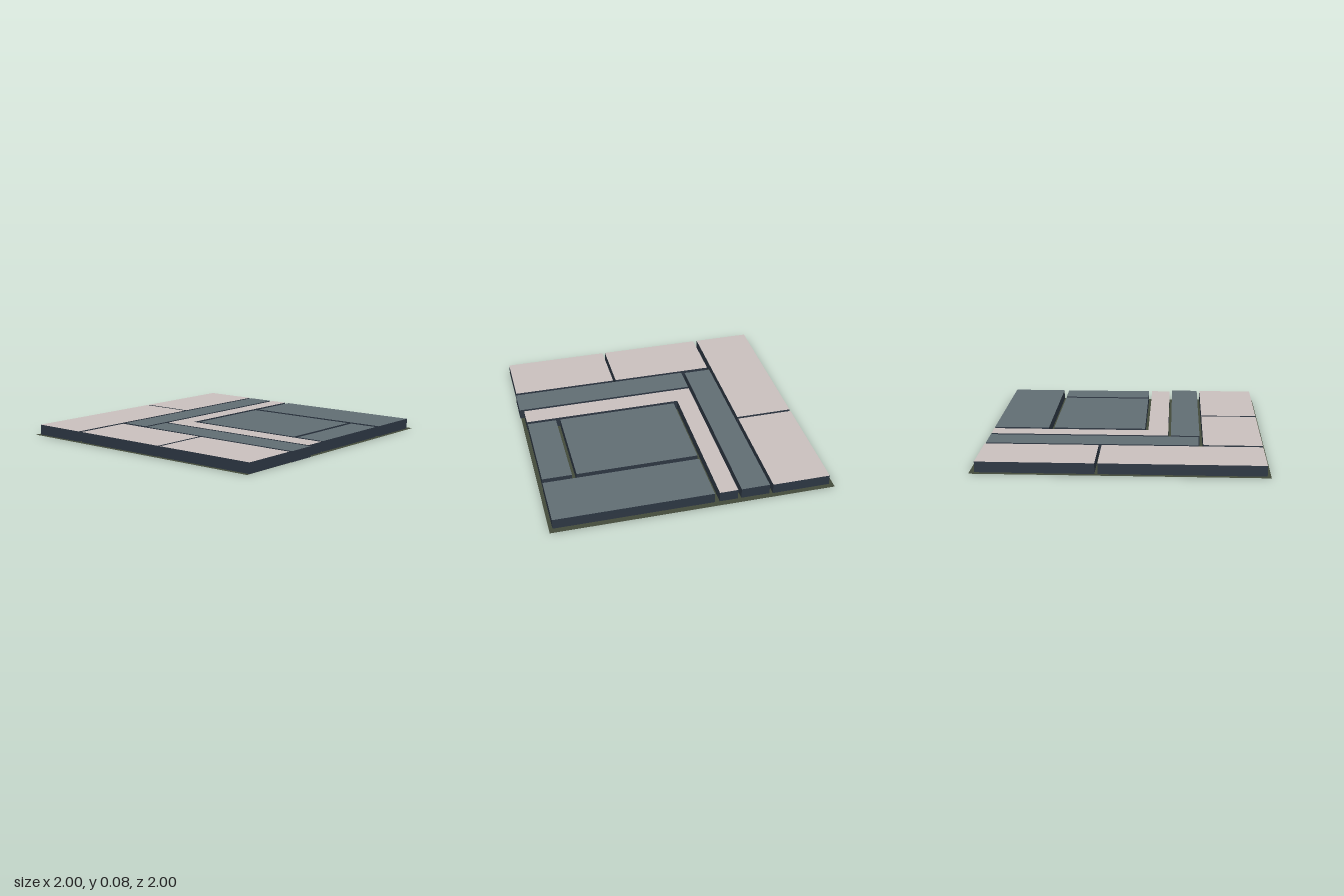
import * as THREE from 'three';

const HEIGHT = 0.075;

const material = (name, color, side = THREE.FrontSide) => {
  const m = new THREE.MeshStandardMaterial({ color, side });
  m.name = name;
  return m;
};

// Corner points of a rectangle in plan, x and z
const rect = (x0, x1, z0, z1) => [[x0, z0], [x0, z1], [x1, z1], [x1, z0]];

export function createModel() {
  const pale = material('paleStone', 0xc9bfbd);
  const slate = material('slateStone', 0x616d73);
  const wall = material('darkBlueSides', 0x2c3642);
  const olive = material('oliveGround', 0x434a3a, THREE.DoubleSide);

  const model = new THREE.Group();
  model.name = 'pavingPanel';

  // Thin ground sheet under the slabs
  const ground = new THREE.Mesh(new THREE.PlaneGeometry(2, 1.995).rotateX(-Math.PI / 2), olive);
  ground.position.z = -0.0025;
  ground.name = 'groundSheet';
  model.add(ground);

  // Slab with a coloured top and dark sides, from its outline in plan
  const addSlab = (name, top, outline) => {
    const shape = new THREE.Shape(outline.map(([x, z]) => new THREE.Vector2(x, -z)));
    const geometry = new THREE.ExtrudeGeometry(shape, { depth: HEIGHT - 0.001, bevelEnabled: false });
    geometry.rotateX(-Math.PI / 2).translate(0, 0.001, 0);
    const slab = new THREE.Mesh(geometry, [top, wall]);
    slab.name = name;
    model.add(slab);
  };

  // Outer pale slabs along the back and one side
  addSlab('backSlabLong', pale, rect(-0.975, 0.145, -0.97, -0.56));
  addSlab('backSlabShort', pale, rect(0.165, 0.965, -0.97, -0.56));
  addSlab('sideSlabBack', pale, rect(-0.975, -0.562, -0.53, 0.215));
  addSlab('sideSlabFront', pale, rect(-0.975, -0.562, 0.235, 0.995));

  // Slate band
  addSlab('slateBandBack', slate, rect(-0.53, 0.96, -0.537, -0.335));
  addSlab('slateBandSide', slate, rect(-0.54, -0.335, -0.31, 1));

  // Pale L-shaped border
  addSlab('paleBorder', pale, [
    [-0.315, -0.31], [-0.315, 0.97], [-0.17, 0.97],
    [-0.17, -0.18], [0.96, -0.18], [0.96, -0.31],
  ]);

  // Inner slate slabs
  addSlab('centreSlab', slate, rect(-0.145, 0.523, -0.145, 0.725));
  addSlab('frontSlab', slate, rect(-0.145, 0.523, 0.757, 0.967));
  addSlab('cornerSlab', slate, rect(0.562, 0.96, -0.145, 0.97));

  return model;
}
